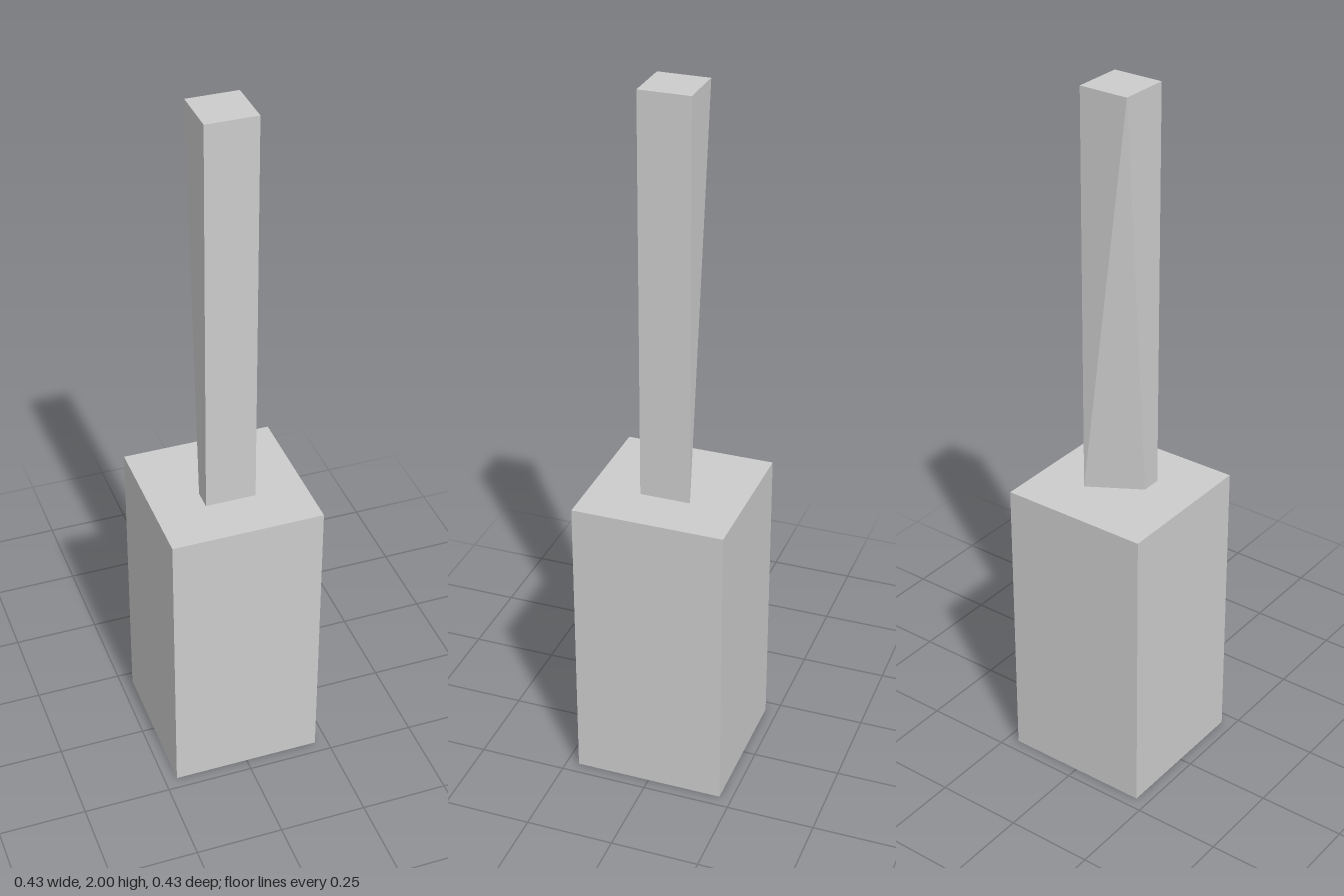
import * as THREE from 'three';

const UNIT = 2 / 14; // the model is 14 units tall

export function createModel() {
  const group = new THREE.Group();
  const material = new THREE.MeshStandardMaterial({ color: 0xcccccc, flatShading: true });

  // Square block standing on the ground, or on the part below it
  const addBlock = (name, width, height, bottom) => {
    const geometry = new THREE.BoxGeometry(width * UNIT, height * UNIT, width * UNIT);
    geometry.translate(0, (bottom + height / 2) * UNIT, 0);
    const mesh = new THREE.Mesh(geometry, material);
    mesh.name = name;
    group.add(mesh);
    return geometry;
  };

  addBlock('base', 3, 6, 0);
  const post = addBlock('post', 1, 8, 6);

  // Cut-in foot of the post: its lower back corner at -x is pulled forward
  const position = post.attributes.position;
  for (let i = 0; i < position.count; i++) {
    const low = position.getY(i) < 7 * UNIT;
    if (low && position.getX(i) < 0 && position.getZ(i) < 0) position.setZ(i, 0.1 * UNIT);
  }
  post.computeVertexNormals();

  return group;
}
